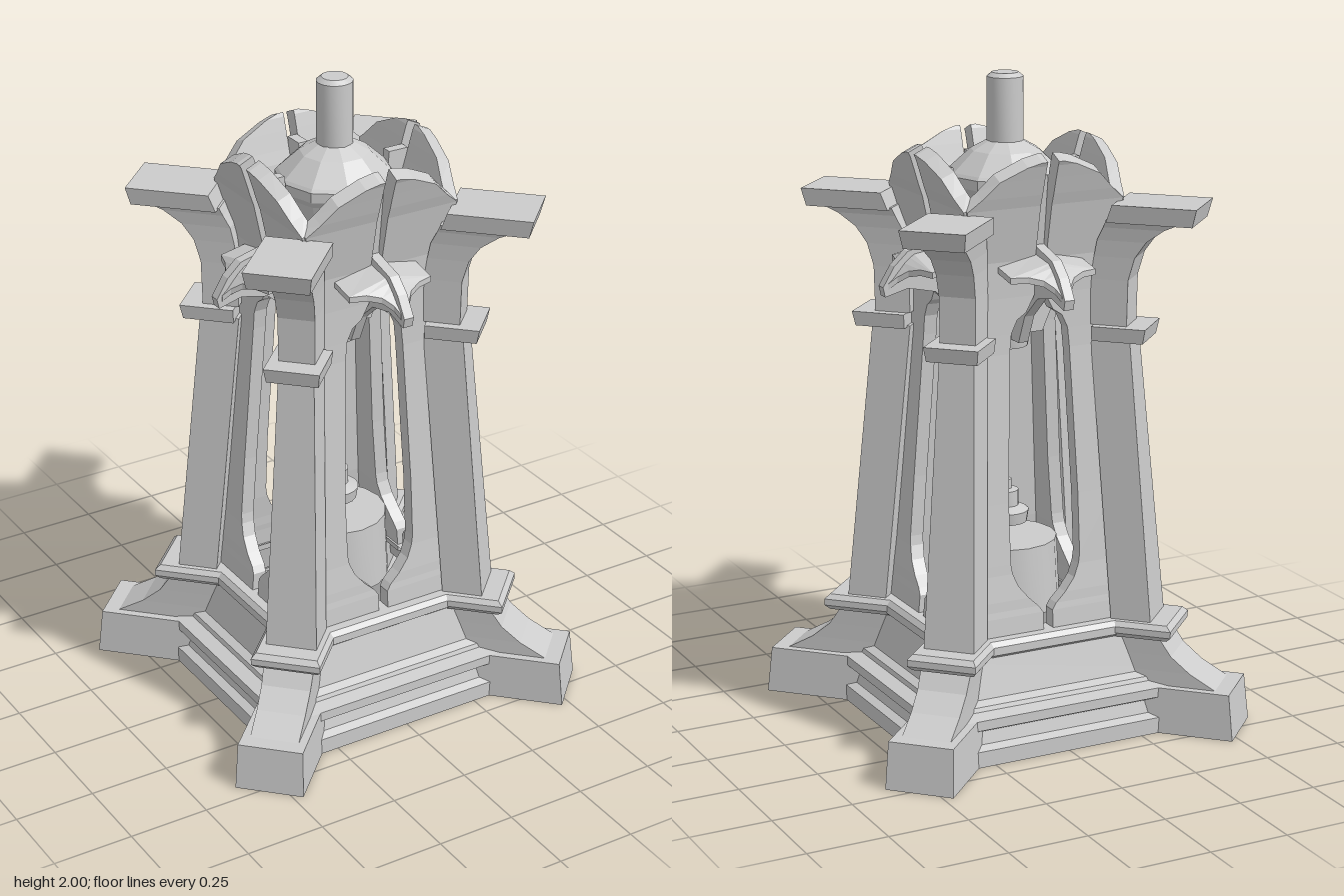
import * as THREE from 'three';
import { toCreasedNormals } from 'three/addons/utils/BufferGeometryUtils.js';

const flat = new THREE.MeshStandardMaterial({ color: 0xcccccc, flatShading: true, side: THREE.DoubleSide });
const smooth = new THREE.MeshStandardMaterial({ color: 0xcccccc, side: THREE.DoubleSide });

function add(parent, geometry, name, material = flat) {
  const mesh = new THREE.Mesh(geometry, material);
  mesh.name = name;
  parent.add(mesh);
}

// Skin a series of matching rings (counter-clockwise about the direction of travel) and cap the ends.
function loft(rings, openStart = false) {
  const n = rings[0].length, index = [];
  for (let i = 0; i < rings.length - 1; i++) {
    for (let j = 0; j < n; j++) {
      const a = i * n + j, b = i * n + (j + 1) % n;
      index.push(a, b, b + n, a, b + n, a + n);
    }
  }
  const last = (rings.length - 1) * n;
  for (let j = 1; j < n - 1; j++) {
    if (!openStart) index.push(0, j + 1, j);
    index.push(last, last + j, last + j + 1);
  }
  const geometry = new THREE.BufferGeometry();
  geometry.setAttribute('position', new THREE.Float32BufferAttribute(rings.flat(2), 3));
  geometry.setIndex(index);
  geometry.computeVertexNormals();
  return geometry;
}

// Four-cornered section; the inner (z0) side can sit higher than the outer one
const rect = (y, x0, x1, z0, z1, lift = 0) => [[x1, y, z1], [x1, y + lift, z0], [x0, y + lift, z0], [x0, y, z1]];

function turned(profile, sides, scale = 1, start = 0) {
  return new THREE.LatheGeometry(profile.map(([r, y]) => new THREE.Vector2(r * scale, y)), sides, start);
}
const round = (profile) => toCreasedNormals(turned(profile, 16), 0.5);

// Leg parts as rows of: height, inner reach, outer reach, half width
const legParts = {
  footBlock: [[0, 0.32, 0.754, 0.105], [0.145, 0.32, 0.739, 0.1]],
  footCurve: [[0.145, 0.34, 0.69, 0.075], [0.19, 0.34, 0.61, 0.075], [0.24, 0.34, 0.55, 0.076], [0.3, 0.34, 0.51, 0.078]],
  lowerBand: [[0.295, 0.3, 0.54, 0.095], [0.31, 0.29, 0.555, 0.107], [0.33, 0.29, 0.555, 0.107], [0.345, 0.3, 0.54, 0.095]],
  shaft: [[0.34, 0.36, 0.485, 0.079], [1.22, 0.28, 0.402, 0.054]],
  upperBand: [[1.215, 0.29, 0.448, 0.078], [1.26, 0.29, 0.457, 0.084]],
  bracket: [[1.26, 0.28, 0.392, 0.055], [1.4, 0.28, 0.395, 0.056], [1.47, 0.29, 0.415, 0.058],
    [1.52, 0.3, 0.45, 0.061], [1.56, 0.32, 0.505, 0.066], [1.585, 0.33, 0.56, 0.072]],
  capital: [[1.58, 0.335, 0.597, 0.092], [1.635, 0.355, 0.611, 0.1]],
};

function makeLeg(offset) {
  const leg = new THREE.Group();
  for (const [name, rows] of Object.entries(legParts)) {
    const rings = rows.map(([y, r0, r1, w]) => rect(y, offset - w, offset + w, r0, r1));
    add(leg, loft(rings, name === 'footBlock'), name);
  }
  return leg;
}

// Half wall rows: height, slit/opening edge, outer edge, outer face distance, lift of the inner side
const wallRows = [
  [0.32, 0.016, 0.28, 0.292], [0.4, 0.016, 0.275, 0.285], [0.42, 0.03, 0.272, 0.282], [0.45, 0.062, 0.27, 0.28],
  [0.49, 0.095, 0.265, 0.275], [0.53, 0.112, 0.262, 0.27], [0.56, 0.117, 0.26, 0.268], [0.75, 0.117, 0.245, 0.254],
  [1.2, 0.1, 0.215, 0.226], [1.26, 0.094, 0.215, 0.225], [1.3, 0.075, 0.215, 0.225], [1.32, 0.045, 0.215, 0.225],
  [1.37, 0.018, 0.215, 0.225], [1.48, 0.018, 0.222, 0.23], [1.645, 0.018, 0.257, 0.265, 0.012],
  [1.68, 0.018, 0.215, 0.277, 0.015], [1.73, 0.018, 0.165, 0.292, 0.018], [1.768, 0.018, 0.08, 0.304, 0.02],
  [1.78, 0.018, 0.035, 0.31, 0.02],
];

// Pointed canopy rows: reach, half width, centre height, edge height
const canopyRows = [
  [0.21, 0.14, 1.5, 1.47], [0.31, 0.14, 1.485, 1.45], [0.325, 0.09, 1.475, 1.45],
  [0.345, 0.05, 1.458, 1.44], [0.37, 0.026, 1.43, 1.42], [0.395, 0.017, 1.4, 1.4],
];

function makeWall() {
  const wall = new THREE.Group();
  const t = 0.043;
  add(wall, loft(wallRows.map(([y, a, b, z, lift]) => rect(y, a, b, z - t, z, lift))), 'wallLeftHalf');
  add(wall, loft(wallRows.map(([y, a, b, z, lift]) => rect(y, -b, -a, z - t, z, lift))), 'wallRightHalf');

  const d = 0.018;
  add(wall, loft(canopyRows.map(([r, w, c, e]) => [
    [w, e - d, r], [w, e, r], [0, c, r], [-w, e, r], [-w, e - d, r], [0, c - d, r],
  ])), 'canopy');

  // Upright fin in the slit, with an arm reaching in to the hanging fitting
  const outline = [[0.245, 1.73], [0.22, 1.52], [0.33, 1.492], [0.375, 1.45], [0.412, 1.39], [0.405, 1.36], [0.33, 1.38],
    [0.24, 1.36], [0.16, 1.29], [0.12, 1.2], [0.06, 1.2], [0.09, 1.31], [0.15, 1.42], [0.18, 1.73]];
  const fin = new THREE.ExtrudeGeometry(new THREE.Shape(outline.map(([x, y]) => new THREE.Vector2(x, y))),
    { depth: 0.032, bevelEnabled: false });
  fin.translate(0, 0, -0.016).rotateY(-Math.PI / 2);
  add(wall, fin, 'fin');
  return wall;
}

export function createModel() {
  const model = new THREE.Group();
  model.name = 'lanternTower';

  // Moulded square plinth, hollow underneath
  add(model, turned([[0.43, 0], [0.43, 0.05], [0.405, 0.062], [0.395, 0.1], [0.425, 0.115], [0.425, 0.145],
    [0.38, 0.155], [0.375, 0.168], [0.35, 0.18], [0.32, 0.295], [0.333, 0.305], [0.333, 0.33], [0.32, 0.345],
    [0.24, 0.345]], 4, Math.SQRT2, Math.PI / 4), 'plinth');

  // Four walls and four diagonal legs
  for (let i = 0; i < 4; i++) {
    const wall = makeWall();
    wall.name = 'wall' + (i + 1);
    wall.rotation.y = i * Math.PI / 2;
    model.add(wall);

    const leg = makeLeg(i % 2 ? -0.018 : 0.018);
    leg.name = 'leg' + (i + 1);
    leg.rotation.y = Math.PI / 4 + i * Math.PI / 2;
    model.add(leg);
  }

  // Inner core, ceiling and the two facing fittings
  add(model, round([[0.17, 0.345], [0.16, 0.56], [0, 0.56]]), 'pedestal', smooth);
  add(model, new THREE.BoxGeometry(0.38, 0.03, 0.38).translate(0, 1.52, 0), 'ceiling');
  add(model, round([[0, 0.608], [0.068, 0.608], [0.074, 0.645], [0.055, 0.655], [0.042, 0.66], [0.042, 0.708],
    [0.02, 0.712], [0.02, 0.742], [0, 0.742]]), 'lowerFitting', smooth);
  add(model, round([[0, 1.168], [0.07, 1.168], [0.076, 1.205], [0.076, 1.235], [0.058, 1.245], [0.048, 1.25],
    [0.048, 1.3], [0.025, 1.32], [0.025, 1.52]]), 'upperFitting', smooth);

  // Roof cap with chimney
  add(model, turned([[0.12, 1.52], [0.165, 1.65], [0.178, 1.67], [0.178, 1.7], [0.17, 1.71], [0.105, 1.77],
    [0.05, 1.8]], 10, 1, Math.PI / 10), 'roofCap');
  add(model, round([[0.055, 1.78], [0.055, 1.988], [0.04, 2], [0, 2]]), 'chimney', smooth);

  return model;
}
